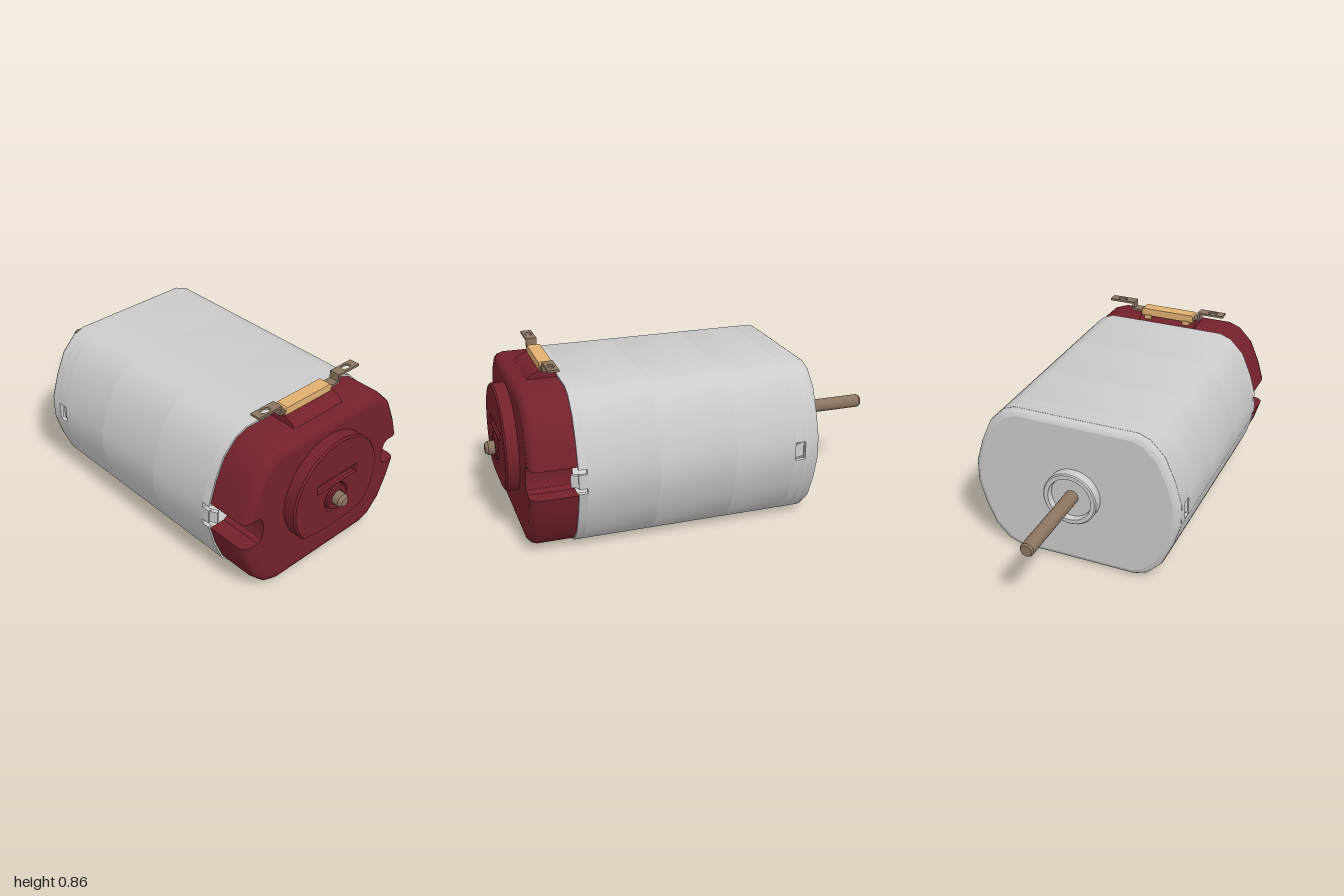
import * as THREE from 'three';
import { toCreasedNormals, mergeGeometries } from 'three/addons/utils/BufferGeometryUtils.js';

const mat = (color) => new THREE.MeshStandardMaterial({ color, side: THREE.DoubleSide });
const V = (x, y) => new THREE.Vector2(x, y);
const TAU = Math.PI * 2;

// One quarter of the rounded housing outline, mirrored to a full loop around the shaft axis
const Q = [[0.525, 0.055], [0.49, 0.175], [0.44, 0.29], [0.37, 0.362], [0.31, 0.385]];
const R = [...Q].reverse();
const OUTLINE = [
  ...Q.map(([x, y]) => V(x, y)), ...R.map(([x, y]) => V(-x, y)),
  ...Q.map(([x, y]) => V(-x, -y)), ...R.map(([x, y]) => V(x, -y)),
];
const inset = (p, d) => V(p.x * (1 - d / 0.525), p.y * (1 - d / 0.385));

// Point of the outline in a given direction from the axis
function outlineAt(angle) {
  const d = V(Math.cos(angle), Math.sin(angle));
  for (let i = 0; i < OUTLINE.length; i++) {
    const p = OUTLINE[i], q = OUTLINE[(i + 1) % OUTLINE.length];
    if (p.cross(d) >= 0 && d.cross(q) > 0) {
      const e = q.clone().sub(p);
      return d.multiplyScalar(p.cross(e) / d.cross(e));
    }
  }
  return OUTLINE[0].clone();
}

// Outline points between two directions
function outlineArc(a0, a1) {
  const mid = OUTLINE.map((p) => {
    let a = Math.atan2(p.y, p.x);
    while (a <= a0) a += TAU;
    return { p, a };
  }).filter((o) => o.a < a1).sort((m, n) => m.a - n.a).map((o) => o.p);
  return [outlineAt(a0), ...mid, outlineAt(a1)];
}

function extrude(shape, z0, z1, bevel = 0) {
  const g = new THREE.ExtrudeGeometry(shape, {
    depth: z1 - z0 - bevel, curveSegments: 24, bevelEnabled: bevel > 0,
    bevelThickness: bevel, bevelSize: bevel, bevelOffset: -bevel, bevelSegments: 1,
  });
  return toCreasedNormals(g.translate(0, 0, z0), 0.6);
}

// Solid through loops of equal point count, back to front, with flat ends
function loft(rings) {
  const side = [], ends = [];
  const n = rings[0].pts.length;
  const put = (out, r, i) => out.push(r.pts[i % n].x, r.pts[i % n].y, r.z);
  for (let k = 0; k + 1 < rings.length; k++) {
    const a = rings[k], b = rings[k + 1];
    for (let i = 0; i < n; i++) {
      put(side, a, i); put(side, a, i + 1); put(side, b, i + 1);
      put(side, a, i); put(side, b, i + 1); put(side, b, i);
    }
  }
  [[rings[0], -1], [rings[rings.length - 1], 1]].forEach(([r, dir]) => {
    THREE.ShapeUtils.triangulateShape(r.pts, []).forEach(([a, b, c]) => {
      const area = r.pts[b].clone().sub(r.pts[a]).cross(r.pts[c].clone().sub(r.pts[a]));
      (area * dir > 0 ? [a, b, c] : [a, c, b]).forEach((i) => put(ends, r, i));
    });
  });
  const make = (arr) => {
    const g = new THREE.BufferGeometry();
    g.setAttribute('position', new THREE.Float32BufferAttribute(arr, 3));
    g.computeVertexNormals();
    return g;
  };
  return mergeGeometries([toCreasedNormals(make(side), 0.6), make(ends)]);
}

export function createModel() {
  const steel = mat(0xcccccc), red = mat(0x75212a), gold = mat(0xe0b070), brass = mat(0x8a7460);
  const model = new THREE.Group();
  model.name = 'electricMotor';
  const body = new THREE.Group();
  body.name = 'motorBody';
  body.position.y = 0.385;
  model.add(body);
  const add = (name, geo, m, x = 0, y = 0, z = 0) => {
    const mesh = new THREE.Mesh(geo, m);
    mesh.name = name;
    mesh.position.set(x, y, z);
    body.add(mesh);
    return mesh;
  };
  const box = (name, m, x0, x1, y0, y1, z0, z1) => add(name,
    new THREE.BoxGeometry(x1 - x0, y1 - y0, z1 - z0), m, (x0 + x1) / 2, (y0 + y1) / 2, (z0 + z1) / 2);

  // Hollow can: prismatic lengths, some with openings given as direction ranges
  const WALL = 0.018;
  const canLength = (z0, z1, gaps = []) => {
    if (!gaps.length) {
      const ring = new THREE.Shape(OUTLINE);
      ring.holes.push(new THREE.Path(OUTLINE.map((p) => inset(p, WALL))));
      add('canWall', extrude(ring, z0, z1), steel);
      return;
    }
    gaps.forEach((gap, i) => {
      const end = i + 1 < gaps.length ? gaps[i + 1][0] : gaps[0][0] + TAU;
      const outer = outlineArc(gap[1], end);
      const inner = outer.map((p) => inset(p, WALL)).reverse();
      add('canWall', extrude(new THREE.Shape([...outer, ...inner]), z0, z1), steel);
    });
  };
  const sideA = (dy) => Math.atan2(dy, 0.525);
  const lowA = (x) => Math.atan2(-0.385, x) + TAU;
  canLength(-0.485, -0.44);
  canLength(-0.44, -0.39, [[sideA(-0.045), sideA(0.045)], [Math.PI + sideA(-0.045), Math.PI + sideA(0.045)]]);
  canLength(-0.39, -0.09);
  canLength(-0.09, 0.285, [[lowA(-0.15), lowA(-0.08)], [lowA(0.06), lowA(0.14)]]);
  canLength(0.285, 0.625);
  const crimp = (a) => [[a + sideA(-0.06), a + sideA(-0.035)], [a + sideA(0.035), a + sideA(0.06)]];
  canLength(0.625, 0.665, [...crimp(0), ...crimp(Math.PI), [lowA(-0.05), lowA(0.05)]]);

  // Closed rear end with rounded edge
  const scaled = (d) => OUTLINE.map((p) => inset(p, d));
  add('canRear', loft([
    { pts: scaled(0.03), z: -0.518 }, { pts: scaled(0.012), z: -0.511 },
    { pts: scaled(0.003), z: -0.498 }, { pts: scaled(0), z: -0.48 },
  ]), steel);

  // Punched side lugs and front crimp tabs
  for (const s of [-1, 1]) {
    const lug = box('sideLug', steel, -0.008, 0.008, -0.035, 0.035, -0.44, -0.385);
    lug.position.x = s * 0.503;
    lug.rotation.y = s * 0.35;
    const tab = box('crimpTab', steel, -0.01, 0.01, -0.03, 0.03, 0.65, 0.695);
    tab.position.x = s * 0.502;
    tab.rotation.y = -s * 0.5;
  }

  // Rear bearing housing with a shallow recess
  const bearing = [[0.0, -0.54], [0.105, -0.54], [0.11, -0.57], [0.13, -0.57], [0.136, -0.564], [0.136, -0.51]];
  const lathe = new THREE.LatheGeometry(bearing.map(([r, z]) => V(r, z)), 40).rotateX(Math.PI / 2);
  add('rearBearing', toCreasedNormals(lathe, 0.5), steel);

  // Shaft with chamfered ends
  const shaftProfile = [[0, -1], [0.027, -1], [0.034, -0.99], [0.034, 0.985], [0.022, 1], [0, 1]];
  const shaft = new THREE.LatheGeometry(shaftProfile.map(([r, z]) => V(r, z)), 24).rotateX(Math.PI / 2);
  add('shaft', toCreasedNormals(shaft, 0.5), brass);

  // End cap: housing outline with a rounded notch in each side, rounded front edge
  const notch = [[0.43, -0.07], [0.41, -0.055], [0.4, -0.025], [0.4, 0.025], [0.41, 0.055], [0.43, 0.07]];
  const capLoop = (d) => {
    const half = outlineArc(sideA(0.072), Math.PI - sideA(0.072)).map((p) => inset(p, d + 0.008));
    half[0].y = half[half.length - 1].y = 0.07;
    const right = notch.map(([x, y]) => V(x, y));
    return [...right, ...half, ...right.map((p) => V(-p.x, -p.y)), ...half.map((p) => V(-p.x, -p.y))];
  };
  add('endCap', loft([
    { pts: capLoop(0), z: 0.664 }, { pts: capLoop(0), z: 0.838 }, { pts: capLoop(0.006), z: 0.86 },
    { pts: capLoop(0.02), z: 0.875 }, { pts: capLoop(0.042), z: 0.881 },
  ]), red);
  box('capKey', red, -0.045, 0.045, -0.383, -0.34, 0.63, 0.68);

  // Raised front boss: circle with a flat bottom, a slot and a bearing hole
  const boss = new THREE.Shape();
  boss.absarc(0, 0.04, 0.272, -0.76, Math.PI + 0.76, false);
  boss.lineTo(-0.1, -0.165);
  boss.lineTo(0.1, -0.165);
  boss.closePath();
  const slot = [V(-0.123, 0.085), V(0.123, 0.085), V(0.123, 0.118), V(-0.123, 0.118)];
  boss.holes.push(new THREE.Path(slot), new THREE.Path().absarc(0, 0, 0.068, 0, TAU, true));
  add('frontBoss', extrude(boss, 0.878, 0.945, 0.008), red);
  box('slotFloor', red, -0.13, 0.13, 0.08, 0.123, 0.88, 0.92);
  const collar = new THREE.Shape().absarc(0, 0, 0.064, 0, TAU, false);
  collar.holes.push(new THREE.Path().absarc(0, 0, 0.034, 0, TAU, true));
  add('frontCollar', extrude(collar, 0.878, 0.955, 0.006), red);

  // Terminal seat on top of the cap, sloping to the front
  const seat = new THREE.Shape([V(-0.81, 0.36), V(-0.665, 0.36), V(-0.665, 0.385),
    V(-0.7, 0.412), V(-0.75, 0.412), V(-0.785, 0.398), V(-0.81, 0.375)]);
  add('terminalSeat', extrude(seat, -0.155, 0.155).rotateY(Math.PI / 2), red);

  // Terminal holder: plate on two legs
  const plate = new THREE.Shape([V(-0.146, 0.41), V(0.146, 0.41), V(0.146, 0.442),
    V(0.138, 0.449), V(-0.138, 0.449), V(-0.146, 0.442)]);
  add('terminalHolder', extrude(plate, 0.682, 0.745), gold);
  for (const x of [-0.11, 0.11]) box('holderLeg', gold, x - 0.02, x + 0.02, 0.375, 0.415, 0.676, 0.745);

  // Stepped terminals with a round hole in each outer end
  for (const s of [-1, 1]) {
    const c = 0.0125, strip = (name, a, b, y0, y1) =>
      box(name, brass, Math.min(c + s * a, c + s * b), Math.max(c + s * a, c + s * b), y0, y1, 0.69, 0.742);
    strip('terminalFoot', 0.1, 0.193, 0.423, 0.434);
    strip('terminalRiser', 0.183, 0.193, 0.423, 0.47);
    const blade = new THREE.Shape([V(0.183, -0.026), V(0.322, -0.026), V(0.322, 0.026), V(0.183, 0.026)]);
    blade.holes.push(new THREE.Path().absellipse(0.26, 0, 0.026, 0.016, 0, TAU, true));
    const g = extrude(blade, 0, 0.011).rotateX(-Math.PI / 2);
    if (s < 0) g.rotateY(Math.PI);
    add('terminalBlade', g, brass, c, 0.46, 0.716);
  }
  return model;
}
